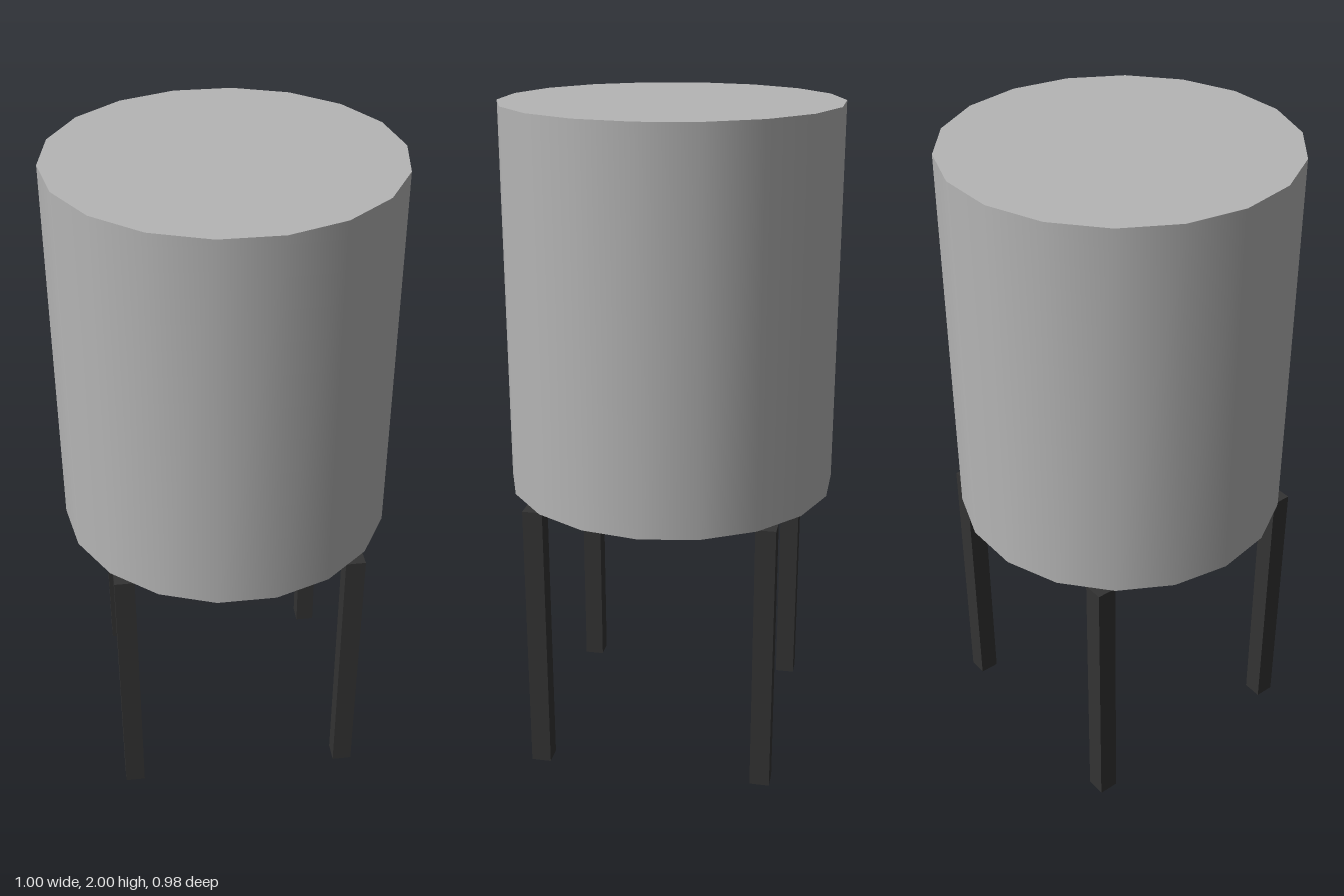
import * as THREE from 'three';

export function createModel() {
  const model = new THREE.Group();
  const bodyGrey = new THREE.MeshStandardMaterial({ name: 'bodyGrey', color: 0xb5b5b5 });
  const legCharcoal = new THREE.MeshStandardMaterial({ name: 'legCharcoal', color: 0x333333 });

  const legHeight = 0.85;
  const bodyHeight = 1.15;

  // Tank body: 18 smooth sides with corners on the x axis
  const bodyGeometry = new THREE.CylinderGeometry(0.5, 0.5, bodyHeight, 18);
  bodyGeometry.rotateY(Math.PI / 2);
  const body = new THREE.Mesh(bodyGeometry, bodyGrey);
  body.name = 'tankBody';
  body.position.y = legHeight + bodyHeight / 2;
  model.add(body);

  // Four square legs
  const legGeometry = new THREE.BoxGeometry(0.06, legHeight, 0.06);
  for (const [zName, z] of [['front', 1], ['back', -1]]) {
    for (const [xName, x] of [['Left', 1], ['Right', -1]]) {
      const leg = new THREE.Mesh(legGeometry, legCharcoal);
      leg.name = `${zName}${xName}Leg`;
      leg.position.set(x * 0.345, legHeight / 2, z * 0.345);
      model.add(leg);
    }
  }
  return model;
}
